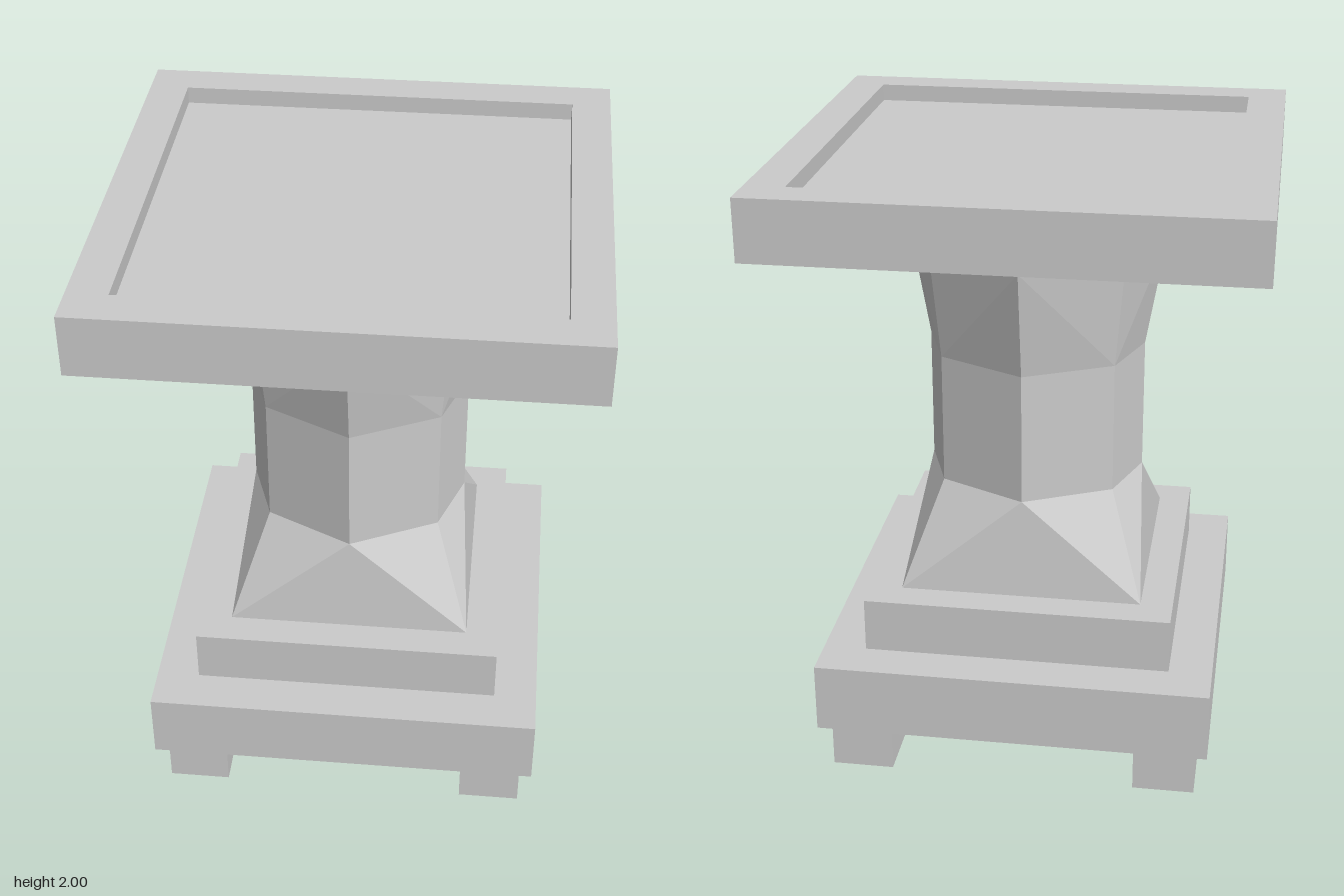
import * as THREE from 'three';

const material = new THREE.MeshStandardMaterial({ color: 0xcccccc, flatShading: true });

function add(parent, name, geometry, x = 0, y = 0, z = 0) {
  const mesh = new THREE.Mesh(geometry, material);
  mesh.name = name;
  mesh.position.set(x, y, z);
  parent.add(mesh);
  return mesh;
}

// Square block standing between two heights
function block(parent, name, half, y0, y1, x = 0, z = 0) {
  return add(parent, name, new THREE.BoxGeometry(half * 2, y1 - y0, half * 2), x, (y0 + y1) / 2, z);
}

// Eight-sided cross-section: m is the reach on each axis, (cx, cz) the diagonal corner
function ring([y, m, cx, cz]) {
  return [[0, m], [cx, cz], [m, 0], [cx, -cz], [0, -m], [-cx, -cz], [-m, 0], [-cx, cz]]
    .map(([x, z]) => [x, y, z]);
}

// Skin between stacked cross-sections
function loft(sections) {
  const rings = sections.map(ring);
  const points = [];
  for (let r = 0; r < rings.length - 1; r++) {
    for (let i = 0; i < 8; i++) {
      const j = (i + 1) % 8;
      const a = rings[r][i], b = rings[r][j], c = rings[r + 1][j], d = rings[r + 1][i];
      // Diagonals always run from the lower corner to the upper middle
      const quad = i % 2 === 0 ? [a, b, d, b, c, d] : [a, b, c, a, c, d];
      points.push(...quad.flat());
    }
  }
  const geometry = new THREE.BufferGeometry();
  geometry.setAttribute('position', new THREE.Float32BufferAttribute(points, 3));
  geometry.computeVertexNormals();
  return geometry;
}

function square(half, Type) {
  return new Type([[-1, -1], [1, -1], [1, 1], [-1, 1]]
    .map(([x, y]) => new THREE.Vector2(x * half, y * half)));
}

export function createModel() {
  const model = new THREE.Group();
  model.name = 'pedestal';

  // Four feet
  for (const x of [-0.5, 0.5]) {
    for (const z of [-0.5, 0.5]) block(model, 'foot', 0.1, 0, 0.16, x, z);
  }

  // Stepped base
  block(model, 'lowerBase', 0.64, 0.16, 0.39);
  block(model, 'upperBase', 0.5, 0.39, 0.57);

  // Column, from a square foot to an octagonal shaft
  add(model, 'column', loft([
    [0.57, 0.395, 0.395, 0.395],
    [0.895, 0.357, 0.28, 0.22],
    [1.33, 0.357, 0.28, 0.22],
    [1.69, 0.42, 0.31, 0.24],
  ]));

  // Flared collar under the top
  add(model, 'collar', loft([
    [1.69, 0.42, 0.31, 0.24],
    [1.753, 0.567, 0.395, 0.3],
    [1.805, 0.548, 0.383, 0.285],
  ]));

  // Top slab with a shallow square recess
  const top = new THREE.Group();
  top.name = 'top';
  model.add(top);
  block(top, 'topSlab', 0.765, 1.805, 1.945);
  const rim = square(0.765, THREE.Shape);
  rim.holes.push(square(0.64, THREE.Path));
  const rimGeometry = new THREE.ExtrudeGeometry(rim, { depth: 0.055, bevelEnabled: false });
  rimGeometry.rotateX(-Math.PI / 2);
  add(top, 'topRim', rimGeometry, 0, 1.945, 0);

  return model;
}
